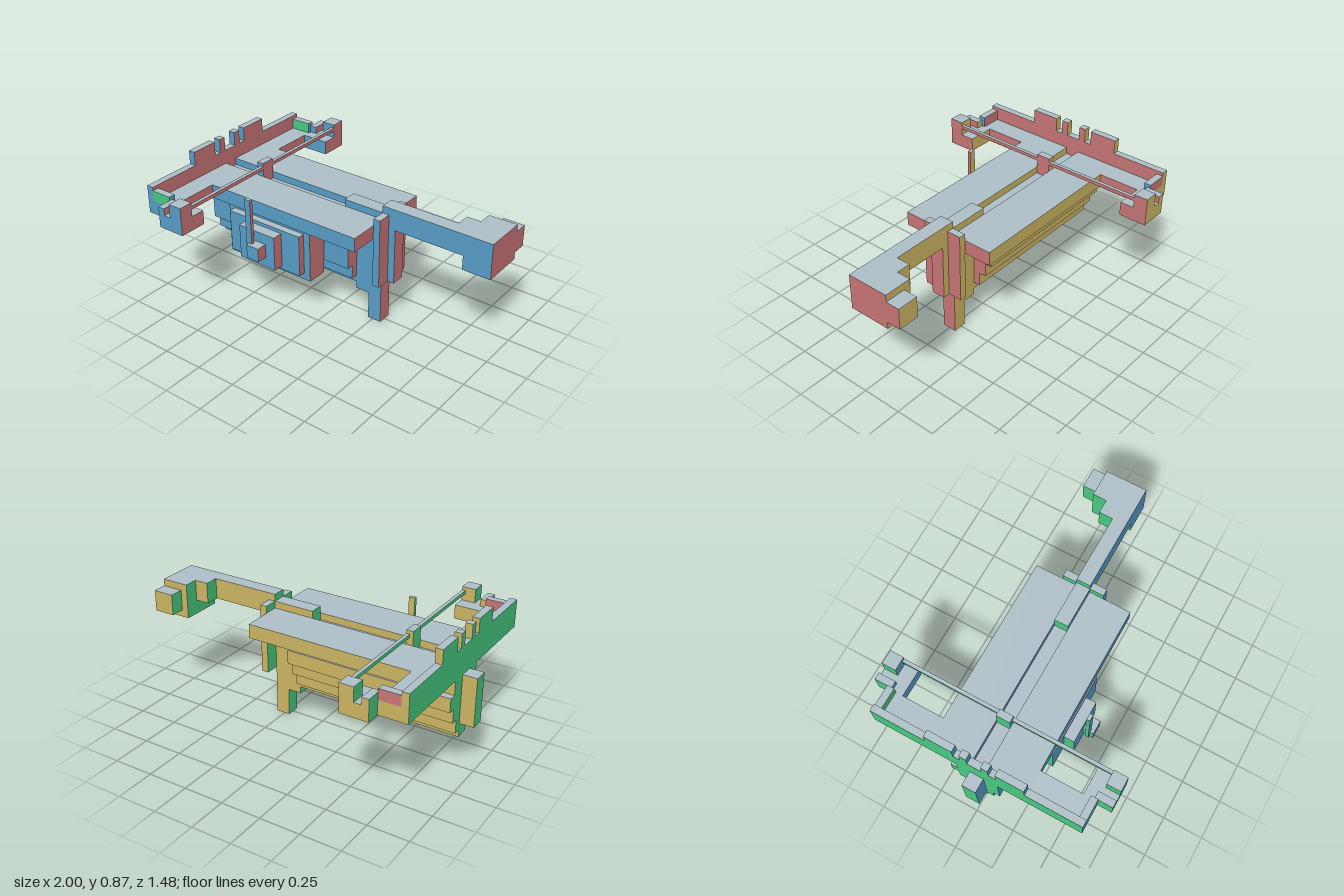
import * as THREE from 'three';

const U = 1 / 23; // one block unit; the model is 46 units long

function paint(name, color) {
  const m = new THREE.MeshStandardMaterial({ color });
  m.name = name;
  return m;
}

export function createModel() {
  const model = new THREE.Group();
  model.name = 'blockModel';

  const blue = paint('blue', 0x589fca);
  const red = paint('red', 0xca7677);
  const grey = paint('paleGrey', 0xb0c1c9);
  const green = paint('green', 0x48cc82);
  const olive = paint('olive', 0xcdb664);
  const dark = paint('darkSlate', 0x4a5562);

  // Each side of a block has its own colour: +x, -x, +y, -y, +z, -z
  const sides = [red, green, grey, dark, blue, olive];
  const turnedSides = [blue, olive, grey, dark, green, red];

  // Block from its limits in units; x counts from the left end
  function block(name, x0, x1, y0, y1, z0, z1, mats = sides) {
    const geo = new THREE.BoxGeometry((x1 - x0) * U, (y1 - y0) * U, (z1 - z0) * U);
    const mesh = new THREE.Mesh(geo, mats);
    mesh.position.set(((x0 + x1) / 2 - 23) * U, ((y0 + y1) / 2) * U, ((z0 + z1) / 2) * U);
    mesh.name = name;
    model.add(mesh);
  }
  // The same block on both sides of the centre plane
  function pair(name, x0, x1, y0, y1, z0, z1, mats) {
    block(name + 'Front', x0, x1, y0, y1, z0, z1, mats);
    block(name + 'Back', x0, x1, y0, y1, -z1, -z0, mats);
  }

  // Central spine, leg and end posts
  block('spine', 2, 30, 5, 15, -1, 1);
  block('legBrace', 26, 28, 4, 5, -1, 1);
  block('leg', 28, 30, 0, 5, -1, 1);
  block('endPost', 30, 32, 7, 15, -1, 1);
  block('endPlate', 30, 31, 7, 17, -3, 3);
  block('tailBlock', 0, 2, 7, 14, -1, 1);

  // Deck halves with a groove between them
  pair('deck', 2, 30, 14, 16, 1, 7);

  // Stepped ribs under the deck
  block('frontLowerRib', 2, 26, 6, 8, 1, 2);
  block('frontUpperRib', 2, 26, 8, 14, 1, 3);
  [[6, 8, 2], [8, 10, 3], [10, 12, 4], [12, 14, 3]].forEach(([y0, y1, d], i) =>
    block('backRib' + (i + 1), 2, 26, y0, y1, -d, -1));

  // Stacked plates, knob and lever on the front
  block('sideHousing', 8, 22, 6, 14, 3, 6);
  block('sidePlate', 9, 21, 7, 13, 6, 7);
  block('sidePad', 12, 18, 7.5, 12.5, 7, 8.5);
  block('knob', 14.5, 16.5, 9, 11, 8.5, 10);
  block('lever', 14.1, 15, 9.7, 17.5, 9, 9.5);

  // Long bar with the stepped end
  block('barBase', 24, 30, 15, 17, -1, 1);
  block('bar', 30, 42, 15, 18, -1, 1);
  block('barStep', 40, 42, 15, 18, -3, -1);
  block('barEnd', 42, 46, 13, 18, -5, 1);
  block('barEndTab', 43, 46, 14, 17, -7, -5);

  // Upright wall with battlements
  block('wall', 2, 3, 14, 18, -15, 15);
  pair('wideMerlon', 2, 3, 18, 20, 3, 7);
  pair('narrowMerlon', 2, 3, 18, 20, 1, 2);

  // Wings, with turned rails, and the raised ends
  pair('wing', 3, 6, 14, 16, 7, 15);
  pair('wingRail', 3, 6, 16, 17.5, 14, 15, turnedSides);
  pair('wingTip', 6, 10, 14, 16, 13, 17);
  pair('wingStop', 6, 7, 16, 17, 14.5, 17);
  pair('rodHolder', 8, 10, 16, 18, 15, 17);

  // Thin cross rod and its centre block
  block('rod', 9.5, 10, 17, 17.5, -15, 15);
  block('rodCentre', 9, 10, 15, 18, -1, 1);

  return model;
}
